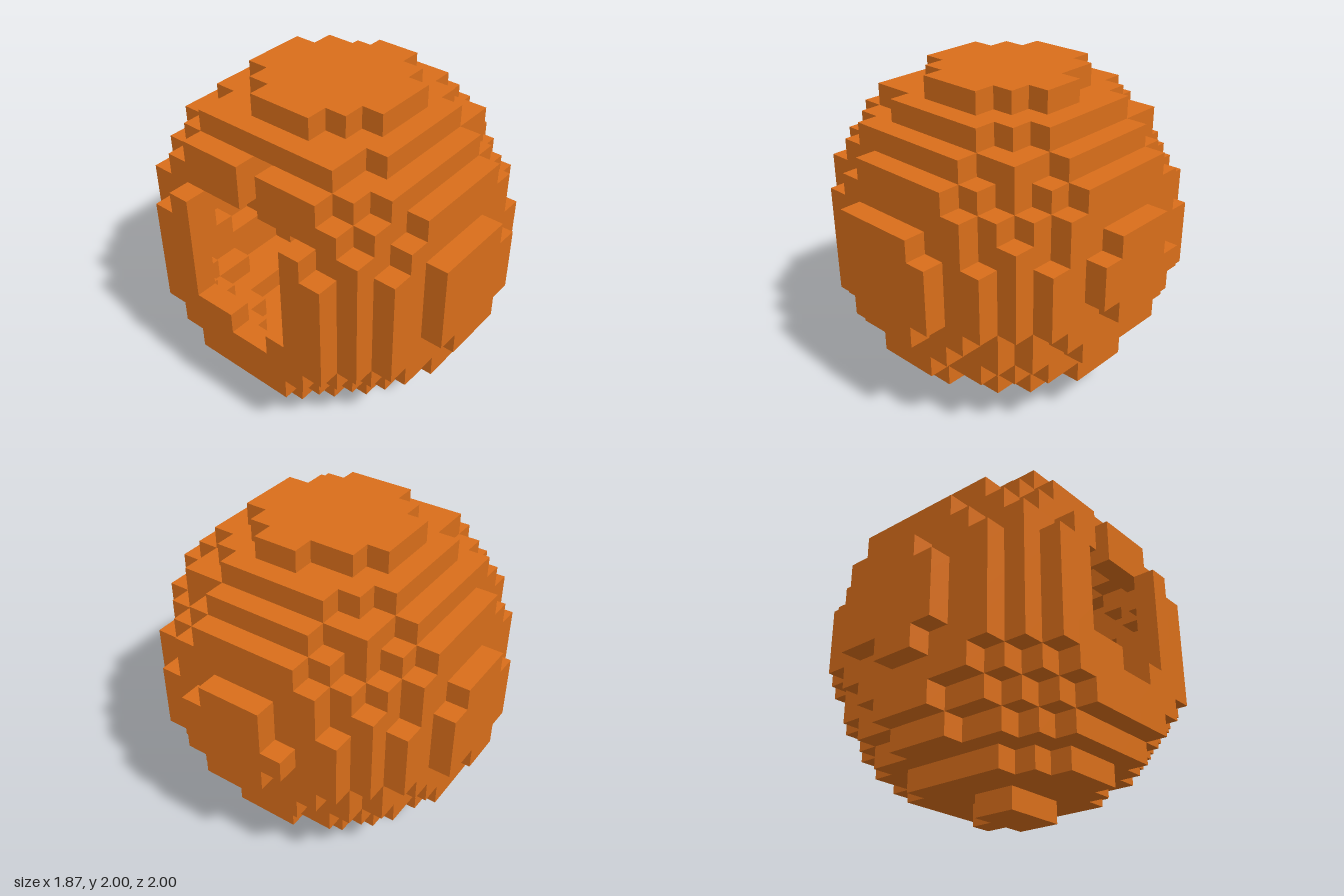
import * as THREE from 'three';
import { mergeGeometries } from 'three/addons/utils/BufferGeometryUtils.js';

const CELL = 2 / 15;
const R2 = 56.25;
const key = (x, y, z) => `${x},${y},${z}`;

// blocks that break the regular ball outline
const EXTRA = new Set([key(7, 1, 2)]);
const CHIPPED = new Set([
  [3, 7, -1], [0, -6, 4], [0, -6, -4], [1, -7, 1], [1, -7, -1],
  [-2, 2, -7], [1, -2, -7], [-5, 6, 0],
].map((c) => key(...c)));

// solid ball, counted in blocks from the middle, with a flattened upper right flank
function inBall(x, y, z) {
  const k = key(x, y, z);
  if (EXTRA.has(k)) return true;
  if (CHIPPED.has(k) || (x === -6 && y >= 4)) return false;
  return (x + 0.2) ** 2 + (y - 0.3) ** 2 + z * z < R2;
}

// opening in the right flank, with a stepped sill and a notch above
function inOpening(x, y, z) {
  if (x === -7) return true;
  if (x === -6) {
    const sill = z === 0 || z === 1 ? -2 : -1;
    return Math.abs(z) <= 2 && y >= sill;
  }
  return x === -5 && z === 0 && (y === 4 || y === 5);
}

const SIDES = [
  [1, 0, 0], [-1, 0, 0], [0, 1, 0], [0, -1, 0], [0, 0, 1], [0, 0, -1],
];

// hollow shell, one block thick
function inShell(x, y, z) {
  if (!inBall(x, y, z) || inOpening(x, y, z)) return false;
  // the rim of the opening stays solid
  if (x === -6) return true;
  return SIDES.some(([a, b, c]) => !inBall(x + a, y + b, z + c));
}

export function createModel() {
  const shell = new Set();
  for (let x = -8; x <= 8; x++)
    for (let y = -8; y <= 8; y++)
      for (let z = -8; z <= 8; z++)
        if (inShell(x, y, z)) shell.add(key(x, y, z));

  // one square face for each uncovered block side
  const templates = SIDES.map((d) => {
    const n = new THREE.Vector3(...d);
    const turn = new THREE.Quaternion().setFromUnitVectors(new THREE.Vector3(0, 0, 1), n);
    return new THREE.PlaneGeometry(CELL, CELL)
      .applyQuaternion(turn)
      .translate(...n.multiplyScalar(CELL / 2).toArray());
  });
  const faces = [];
  for (const k of shell) {
    const [x, y, z] = k.split(',').map(Number);
    SIDES.forEach(([a, b, c], i) => {
      if (shell.has(key(x + a, y + b, z + c))) return;
      faces.push(templates[i].clone().translate(x * CELL, (y + 7.5) * CELL, z * CELL));
    });
  }

  const orange = new THREE.MeshStandardMaterial({ color: 0xd96e1a });
  orange.name = 'burnt orange';
  const ball = new THREE.Mesh(mergeGeometries(faces), orange);
  ball.name = 'hollowBlockBall';
  // centre the span left after the flank cap is opened
  ball.position.x = -CELL / 2;

  const group = new THREE.Group();
  group.name = 'blockBall';
  group.add(ball);
  return group;
}
